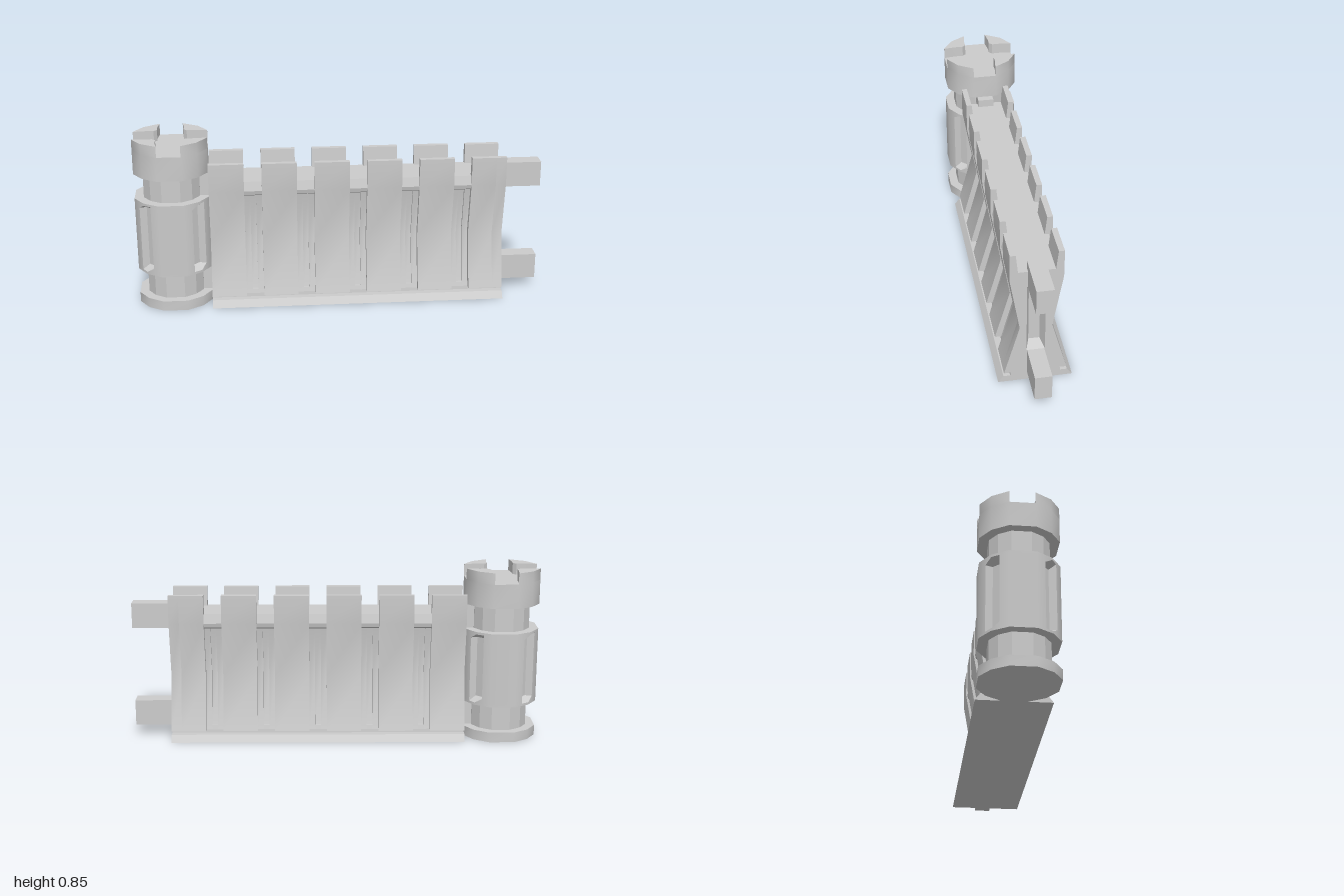
import * as THREE from 'three';
import { toCreasedNormals } from 'three/addons/utils/BufferGeometryUtils.js';

const material = new THREE.MeshStandardMaterial({ color: 0xcccccc });
const doubleSided = new THREE.MeshStandardMaterial({ color: 0xcccccc, side: THREE.DoubleSide });

function add(parent, name, geometry, mat = material) {
  const mesh = new THREE.Mesh(geometry, mat);
  mesh.name = name;
  parent.add(mesh);
  return mesh;
}

function box(parent, name, x0, x1, y0, y1, z0, z1) {
  const g = new THREE.BoxGeometry(x1 - x0, y1 - y0, z1 - z0);
  g.translate((x0 + x1) / 2, (y0 + y1) / 2, (z0 + z1) / 2);
  return add(parent, name, g);
}

// Skin a stack of rings of [x, y, z] points, optionally with fan caps
function loft(rings, crease, capped = true) {
  const pos = [];
  const tri = (...pts) => pts.forEach((p) => pos.push(...p));
  const n = rings[0].length;
  for (let r = 0; r < rings.length - 1; r++) {
    for (let i = 0; i < n; i++) {
      const j = (i + 1) % n, a = rings[r], b = rings[r + 1];
      tri(a[i], b[i], a[j]);
      tri(a[j], b[i], b[j]);
    }
  }
  if (capped) {
    const bottom = rings[0], top = rings[rings.length - 1];
    for (let i = 0; i < n; i++) {
      const j = (i + 1) % n;
      tri([0, bottom[0][1], 0], bottom[i], bottom[j]);
      tri([0, top[0][1], 0], top[j], top[i]);
    }
  }
  const g = new THREE.BufferGeometry();
  g.setAttribute('position', new THREE.Float32BufferAttribute(pos, 3));
  return toCreasedNormals(g, crease);
}

// Repeat one quadrant of [x, z] points around the tower axis
function ring(quadrant, y, scale = 1) {
  const pts = [];
  for (let k = 0; k < 4; k++) {
    for (let [x, z] of quadrant) {
      for (let t = 0; t < k; t++) [x, z] = [-z, x];
      pts.push([x * scale, y, z * scale]);
    }
  }
  return pts;
}

// Mirror half a [z, y] profile and extrude it along the wall
function section(half, x0, x1, hole) {
  const pts = [...half, ...half.map(([z, y]) => [-z, y]).reverse()];
  const shape = new THREE.Shape(pts.map((p) => new THREE.Vector2(...p)));
  if (hole) shape.holes.push(new THREE.Path(hole.map((p) => new THREE.Vector2(...p))));
  const g = new THREE.ExtrudeGeometry(shape, { depth: x1 - x0, bevelEnabled: false });
  g.rotateY(Math.PI / 2);
  g.translate(x0, 0, 0);
  return toCreasedNormals(g, 0.5);
}

function createTower() {
  const tower = new THREE.Group();
  tower.name = 'tower';
  const plain = [[0.18, 0.06], [0.133, 0.133], [0.06, 0.18]];
  const disc = (name, y0, y1, scale, crease) =>
    add(tower, name, loft([ring(plain, y0, scale), ring(plain, y1, scale)], crease));
  disc('towerBase', 0, 0.05, 1, 0.6);
  disc('lowerNeck', 0.05, 0.18, 0.755, 0.2);
  disc('upperNeck', 0.55, 0.675, 0.755, 0.2);
  disc('towerHead', 0.675, 0.795, 1, 0.6);

  // Drum with four diagonal sloped pockets
  const full = [[0.18, 0.06], [0.155, 0.099], [0.134, 0.132], [0.132, 0.134], [0.099, 0.155], [0.06, 0.18]];
  const cut = [[0.18, 0.06], [0.155, 0.099], [0.122, 0.088], [0.088, 0.122], [0.099, 0.155], [0.06, 0.18]];
  add(tower, 'drum', loft([
    ring(full, 0.18), ring(full, 0.192), ring(cut, 0.215),
    ring(cut, 0.515), ring(full, 0.538), ring(full, 0.55),
  ], 0.6));

  // Four battlement blocks leaving a cross-shaped channel
  const block = new THREE.Shape([
    [0.18, 0.057], [0.18, 0.06], [0.133, 0.133], [0.06, 0.18], [0.057, 0.18],
    [0.065, 0.12], [0.064, 0.08], [0.08, 0.064], [0.12, 0.065],
  ].map((p) => new THREE.Vector2(...p)));
  for (let k = 0; k < 4; k++) {
    const g = new THREE.ExtrudeGeometry(block, { depth: 0.055, bevelEnabled: false });
    g.rotateX(-Math.PI / 2);
    g.translate(0, 0.795, 0);
    g.rotateY(k * Math.PI / 2);
    add(tower, 'towerBattlement', toCreasedNormals(g, 0.6));
  }
  tower.position.x = -0.82;
  return tower;
}

function createWall() {
  const wall = new THREE.Group();
  wall.name = 'wall';
  const left = -0.64, right = 0.81, step = 0.256, width = 0.17, endDepth = 0.05;
  // Base with an undercut groove below the panels
  add(wall, 'wallBase', section([[0.175, 0], [0.15, 0.033], [0.118, 0.033], [0.116, 0.05]], left, right));

  const panel = [[0.147, 0.05], [0.075, 0.315], [0.122, 0.59], [0.122, 0.73], [0.095, 0.73], [0.085, 0.635]];
  const rail = [[0.09, 0.56], [0.11, 0.57], [0.115, 0.59], [0.103, 0.635]];
  const recess = [[0.117, 0.05], [0.048, 0.315], ...rail];
  const slit = [[0.117, 0.05], [0.112, 0.07], [0.098, 0.07], [0.034, 0.315], [0.075, 0.56], ...rail];
  const pocket = [[-0.043, 0.178], [0.043, 0.178], [0.043, 0.55], [-0.043, 0.55]];

  for (let i = 0; i < 6; i++) {
    const x = left + i * step, end = i === 5 ? right - endDepth : x + width;
    add(wall, 'panel', section(panel, x, end));
    if (i === 5) continue;
    // Recessed bay with a narrow central slit
    const gap = step - width, a = end + gap * 0.34, b = end + gap * 0.67;
    add(wall, 'recess', section(recess, end, a));
    add(wall, 'slit', section(slit, a, b));
    add(wall, 'recess', section(recess, b, end + gap));
  }

  // Open end with a tapered pocket
  add(wall, 'endPanel', section(panel, right - endDepth, right, pocket));
  const outer = pocket.map(([z, y]) => [right, y, z]);
  const inner = [[-0.026, 0.205], [0.026, 0.205], [0.026, 0.5], [-0.026, 0.5]]
    .map(([z, y]) => [right - endDepth + 0.002, y, z]);
  add(wall, 'endPocket', loft([outer, inner], 0.1, false), doubleSided);

  // Joining posts at both ends
  for (const [y0, y1] of [[0.05, 0.178], [0.55, 0.675]]) {
    box(wall, 'joiningPost', 0.78, 1, y0, y1, -0.04, 0.04);
    box(wall, 'towerLink', -0.74, -0.605, y0, y1 - 0.001, -0.04, 0.04);
  }
  return wall;
}

export function createModel() {
  const model = new THREE.Group();
  model.name = 'castleWallSegment';
  model.add(createTower(), createWall());
  return model;
}
